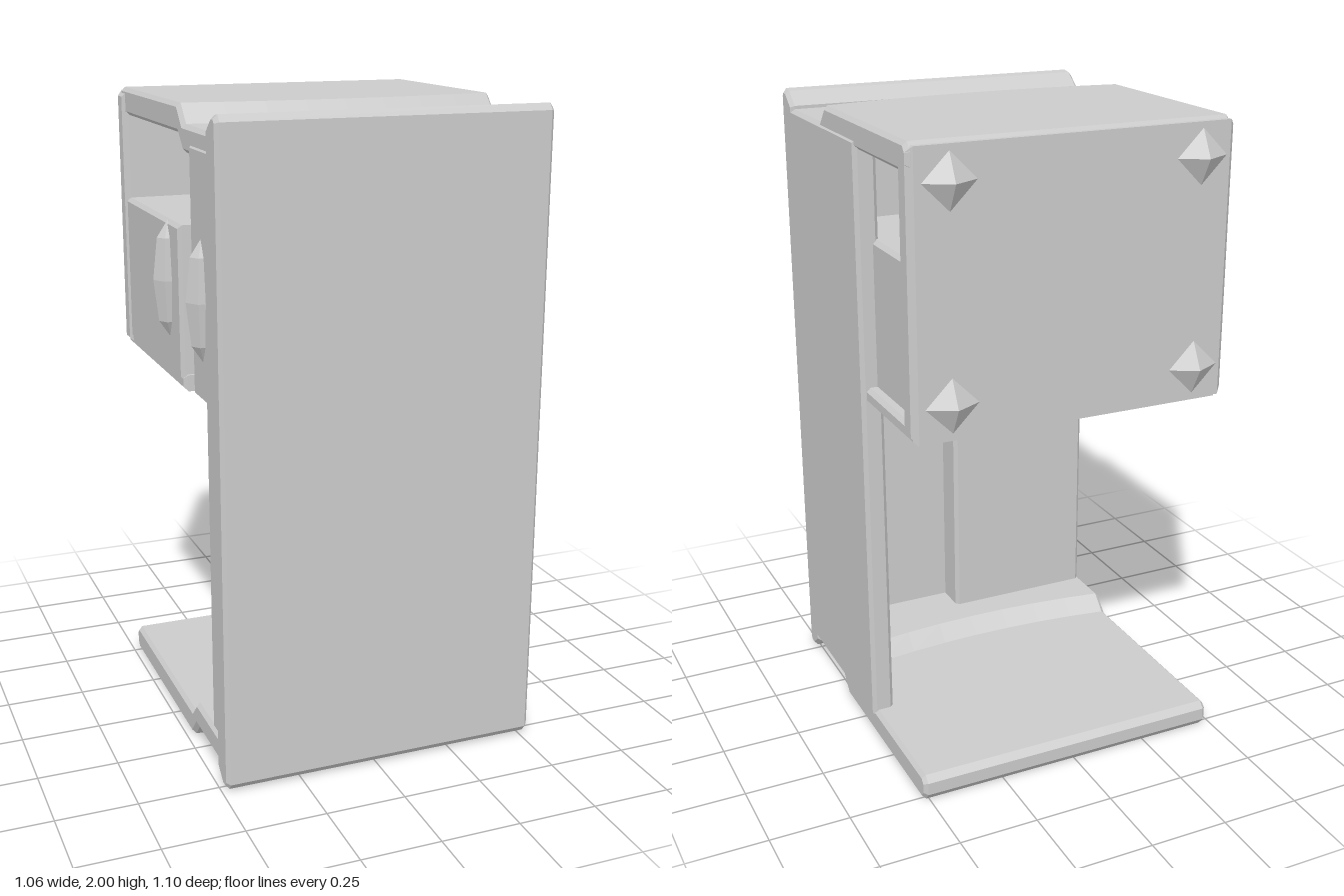
import * as THREE from 'three';

const material = new THREE.MeshStandardMaterial({ color: 0xcccccc, flatShading: true });

export function createModel() {
  const model = new THREE.Group();

  const add = (name, geometry) => {
    const mesh = new THREE.Mesh(geometry, material);
    mesh.name = name;
    model.add(mesh);
    return mesh;
  };

  // Extrudes a (z, y) profile from x0 to x1 with one chamfer of size b
  const extrudeX = (profile, x0, x1, b, steps = 1) => {
    const shape = new THREE.Shape(profile.map(([z, y]) => new THREE.Vector2(-z, y)));
    const geometry = new THREE.ExtrudeGeometry(shape, {
      depth: x1 - x0 - 2 * b, steps, bevelEnabled: b > 0,
      bevelSize: b, bevelThickness: b, bevelOffset: -b, bevelSegments: 1,
    });
    geometry.rotateY(Math.PI / 2);
    geometry.translate(x0 + b, 0, 0);
    return geometry;
  };

  // Box with chamfered edges, given by its extents
  const slab = (x0, x1, y0, y1, z0, z1, b = 0.012) =>
    extrudeX([[z0, y0], [z1, y0], [z1, y1], [z0, y1]], x0, x1, b);

  // Desktop, turned to the front, with raised lips at both ends
  add('desktop', extrudeX([
    [0.55, 0.03], [0.535, 0.01], [0.505, 0.01], [0.455, 0.05],
    [0.455, 1.955], [0.505, 1.995], [0.535, 2], [0.55, 1.98],
  ], -0.49, 0.525, 0.012));

  // Side panels: constant thickness, stepping outward along a bowed line
  const sidePanel = (name, backZ, flip) => {
    const profile = [
      [0.48, 0.055], [0.205, 0.055], [0.155, 0], [backZ + 0.02, 0], [backZ, 0.025],
      [backZ, 0.065], [backZ + 0.02, 0.085], [0.155, 0.085], [0.205, 0.135], [0.48, 0.135],
    ].map(([z, y]) => [z, flip ? 2 - y : y]);
    const geometry = extrudeX(profile, -0.48, 0.52, 0.012, 8);
    const p = geometry.attributes.position;
    for (let i = 0; i < p.count; i++) {
      const x = p.getX(i), z = p.getZ(i);
      if (z > 0.1 && z < 0.3) p.setZ(i, z + 0.045 * (1 - (x / 0.5) ** 2));
    }
    geometry.computeVertexNormals();
    add(name, geometry);
  };
  sidePanel('lowerSidePanel', -0.53, false);
  sidePanel('upperSidePanel', -0.5, true);

  // Panel closing the far side between the two side panels
  add('backPanel', slab(0.455, 0.525, 0.06, 1.945, -0.11, 0.5));

  // Drawers under the desktop
  add('deskDrawer', slab(-0.485, 0.46, 1.17, 1.9, 0.28, 0.48));
  add('trayDrawer', slab(-0.47, 0.03, 0.1, 1.2, 0.35, 0.48));

  // Cabinet: base board, inner board and drawer box beside an open shelf
  add('cabinetBase', slab(-0.49, 0.52, 1.16, 1.99, -0.505, -0.425, 0.018));
  add('cabinetSide', slab(-0.48, 0.51, 1.15, 1.2, -0.49, 0.17));
  add('cabinetDrawer', slab(-0.485, 0.475, 1.18, 1.65, -0.44, 0.16));

  // Long faceted drawer handles
  for (const z of [0.04, 0.38]) {
    const handle = add('drawerHandle', new THREE.SphereGeometry(1, 6, 4));
    handle.scale.set(0.05, 0.18, 0.045);
    handle.position.set(-0.482, 1.47, z);
  }

  // Pyramid feet under the cabinet base
  for (const x of [-0.38, 0.4]) {
    for (const y of [1.26, 1.89]) {
      const foot = add('foot', new THREE.ConeGeometry(0.095, 0.05, 4));
      foot.rotation.x = -Math.PI / 2;
      foot.position.set(x, y, -0.523);
    }
  }

  return model;
}
